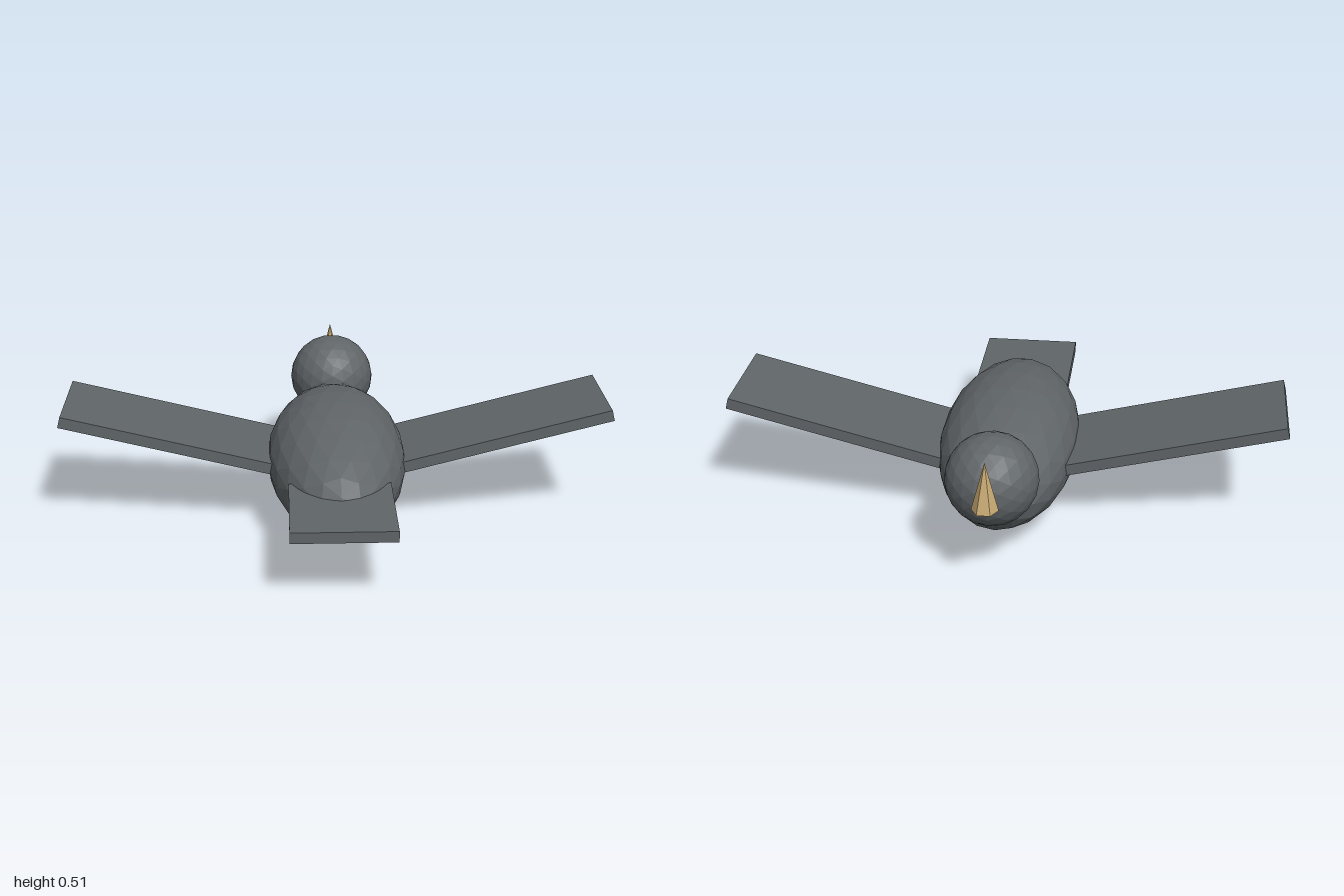
import * as THREE from 'three';

export function createModel() {
  const group = new THREE.Group();
  group.name = 'bird';

  const plumage = new THREE.MeshStandardMaterial({ color: 0x606568, flatShading: true });
  plumage.name = 'slate grey';
  const horn = new THREE.MeshStandardMaterial({ color: 0xc9ab74, flatShading: true });
  horn.name = 'pale horn';

  const add = (name, geometry, material, x, y, z) => {
    const mesh = new THREE.Mesh(geometry, material);
    mesh.name = name;
    mesh.position.set(x, y, z);
    group.add(mesh);
    return mesh;
  };

  // Body: faceted ball stretched along z
  const body = new THREE.IcosahedronGeometry(1, 3).scale(0.255, 0.213, 0.55);
  add('body', body, plumage, 0, 0.216, -0.012);

  // Head at the -z end
  add('head', new THREE.IcosahedronGeometry(0.161, 3), plumage, 0, 0.348, -0.547);

  // Beak: upright six-sided cone with its corners on the x axis
  const beak = new THREE.ConeGeometry(0.046, 0.176, 6).rotateY(Math.PI / 2);
  add('beak', beak, horn, 0, 0.418, -0.727);

  // Wings: flat boards rising outwards, rooted inside the body
  const tilt = 0.247, length = 0.85;
  for (const side of [1, -1]) {
    const wing = add(
      side > 0 ? 'leftWing' : 'rightWing',
      new THREE.BoxGeometry(length, 0.041, 0.39), plumage,
      side * (0.994 - Math.cos(tilt) * length / 2),
      0.422 - Math.sin(tilt) * length / 2,
      -0.054
    );
    wing.rotation.z = side * tilt;
  }

  // Tail board
  add('tail', new THREE.BoxGeometry(0.358, 0.039, 0.4), plumage, 0, 0.25, 0.567);

  return group;
}
